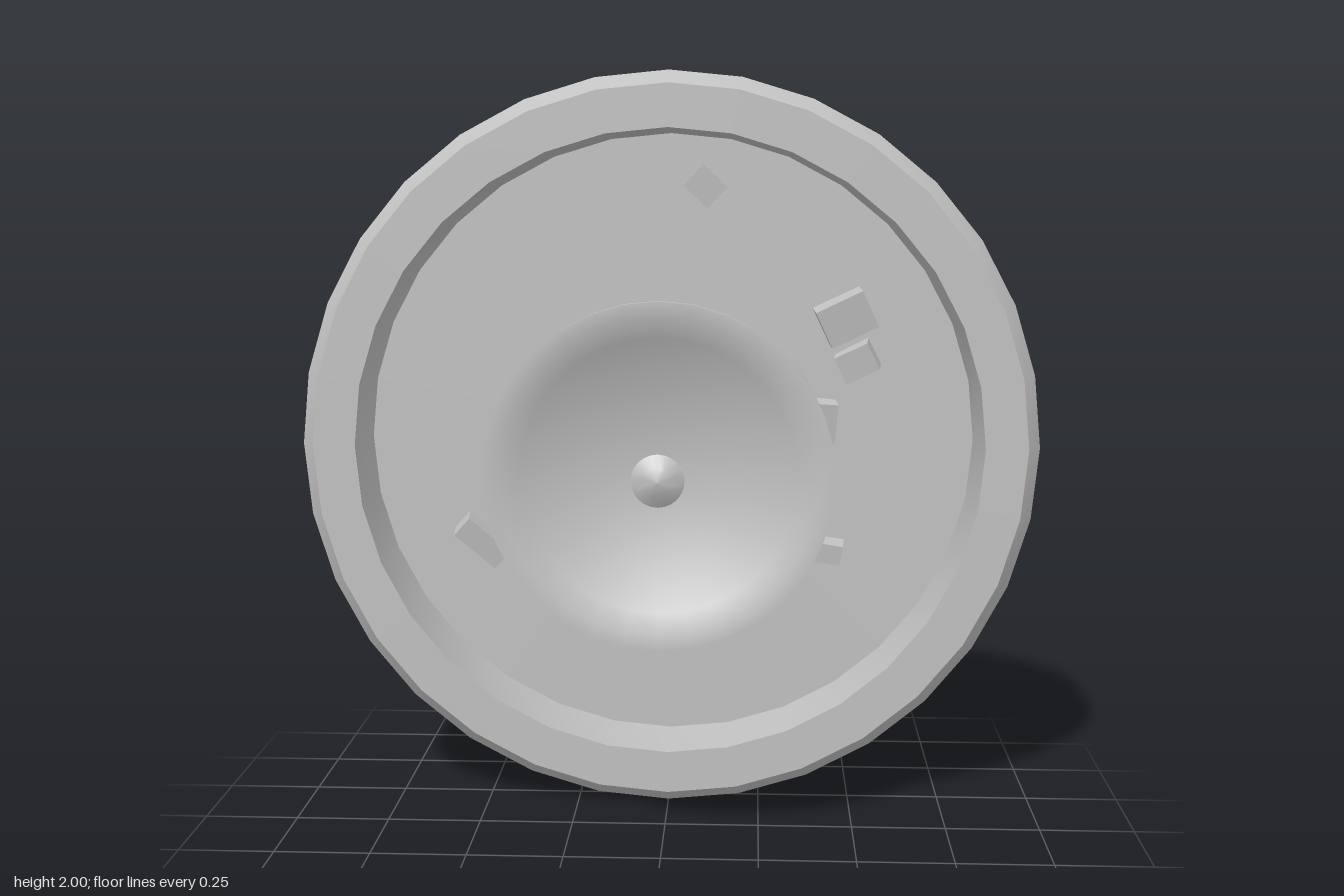
import * as THREE from 'three';
import { toCreasedNormals } from 'three/addons/utils/BufferGeometryUtils.js';

export function createModel() {
  const group = new THREE.Group();
  const stone = new THREE.MeshStandardMaterial({ color: 0xc0c0c0 });
  stone.name = 'pale grey stone';

  // Turned part: profile of [radius, z], back to front, about the z axis at y = 1
  function turned(name, profile, segments = 32) {
    const pts = profile.map(([r, z]) => new THREE.Vector2(r, z));
    const geo = new THREE.LatheGeometry(pts, segments).rotateX(Math.PI / 2);
    const mesh = new THREE.Mesh(toCreasedNormals(geo, 0.5), stone);
    mesh.name = name;
    mesh.position.y = 1;
    group.add(mesh);
  }

  // Wide basin with stepped back, chamfered rim and recessed floor
  turned('basin', [
    [0, -0.405], [0.97, -0.405], [0.97, -0.365], [1, -0.355], [1, -0.2],
    [0.965, -0.155], [0.85, -0.155], [0.838, -0.35], [0, -0.35],
  ]);

  // Column with foot, waist and collar
  turned('pedestal', [
    [0, -0.35], [0.21, -0.35], [0.21, -0.3], [0.15, -0.29], [0.14, -0.22],
    [0.13, -0.155], [0.12, -0.07], [0.116, 0], [0.12, 0.07], [0.13, 0.14],
    [0.138, 0.15], [0.15, 0.168], [0.13, 0.19], [0.13, 0.2], [0, 0.2],
  ]);

  // Shallow upper bowl with a rounded hollow
  const bowl = [[0, 0.195], [0.13, 0.195], [0.365, 0.272], [0.43, 0.325], [0.43, 0.345]];
  for (let i = 0; i <= 8; i++) {
    const r = 0.39 * (1 - i / 8);
    bowl.push([r, 0.24 + 0.105 * (r / 0.39) ** 2]);
  }
  turned('upperBowl', bowl);

  // Spout with a flared pointed cap
  turned('spout', [
    [0, 0.23], [0.04, 0.23], [0.036, 0.3], [0.036, 0.345],
    [0.065, 0.375], [0.035, 0.394], [0, 0.405],
  ], 24);

  // Loose blocks on the basin floor: x, y, width, height, turn in degrees
  const blocks = [
    [0.10, 1.70, 0.08, 0.09, 47], [0.48, 1.34, 0.14, 0.11, 25],
    [0.515, 1.22, 0.10, 0.08, 27], [0.41, 1.055, 0.09, 0.11, -5],
    [0.44, 0.69, 0.08, 0.055, -8], [-0.53, 0.71, 0.15, 0.065, -42],
    [-0.31, 0.62, 0.10, 0.085, 40],
  ];
  blocks.forEach(([x, y, w, h, deg], i) => {
    const mesh = new THREE.Mesh(new THREE.BoxGeometry(w, h, 0.08), stone);
    mesh.name = `looseBlock${i + 1}`;
    mesh.position.set(x, y, -0.325);
    mesh.rotation.set(0.12, i % 2 ? 0.1 : -0.1, THREE.MathUtils.degToRad(deg));
    group.add(mesh);
  });

  return group;
}
